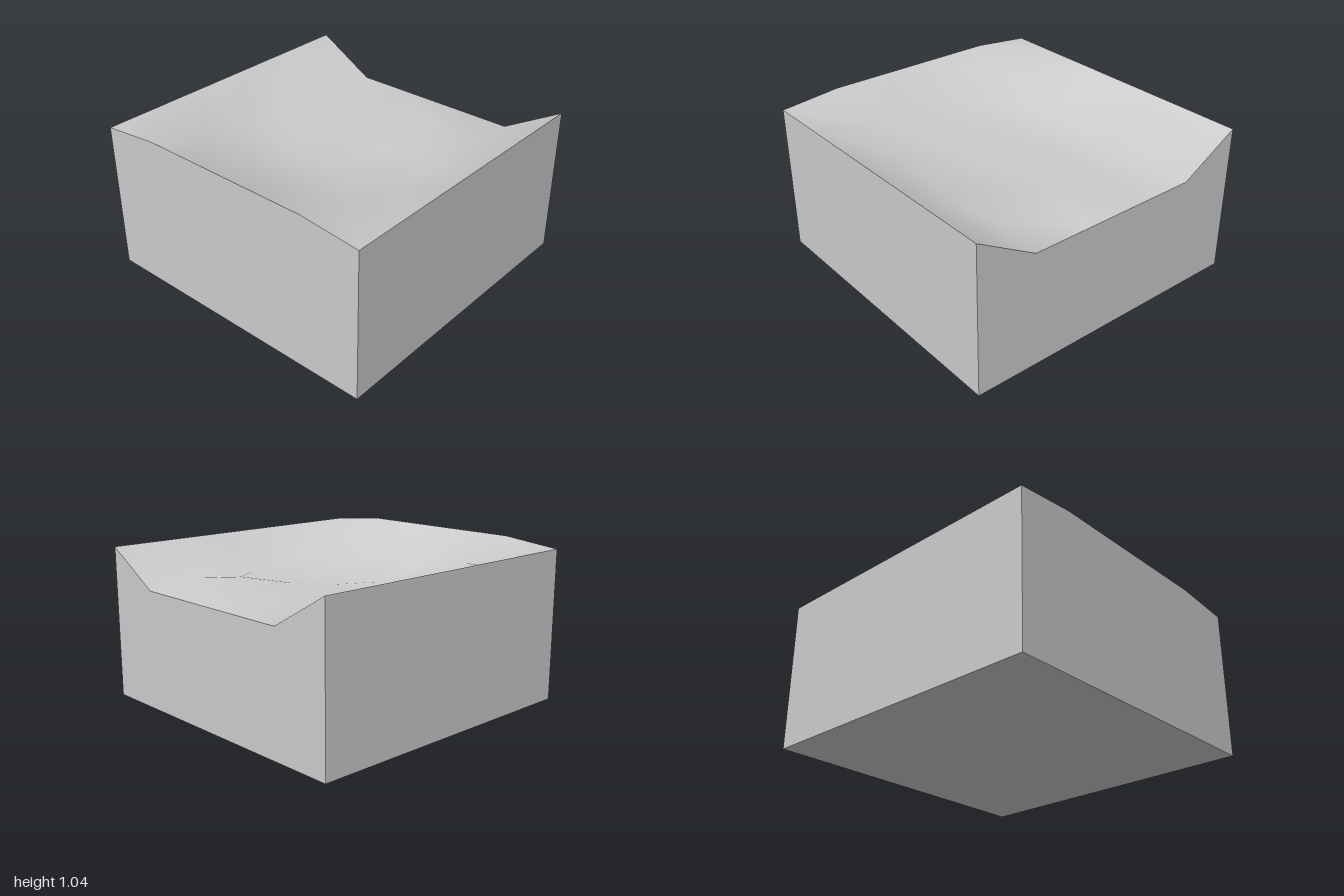
import * as THREE from 'three';

// Ground heights: one row per z from back to front, each running from x = -1 to x = 1
const HEIGHTS = [
  [1.0, 1.0, 1.0, 1.0, 1.0, 1.0],
  [1.04, 0.905, 0.81, 0.76, 0.78, 0.77],
  [1.04, 0.84, 0.78, 0.82, 0.77, 0.77],
  [1.04, 0.87, 0.777, 0.77, 0.865, 0.77],
  [1.04, 0.925, 0.83, 0.79, 0.8, 0.77],
  [1.0, 1.0, 1.0, 1.0, 1.0, 1.0],
];
const CELLS = HEIGHTS.length - 1;

export function createModel() {
  const group = new THREE.Group();
  const material = new THREE.MeshStandardMaterial({ color: 0xcccccc });
  const add = (name, geometry) => {
    const mesh = new THREE.Mesh(geometry, material);
    mesh.name = name;
    group.add(mesh);
  };

  // Smooth rolling ground
  const ground = new THREE.PlaneGeometry(2, 2, CELLS, CELLS).rotateX(-Math.PI / 2);
  HEIGHTS.flat().forEach((y, i) => ground.attributes.position.setY(i, y));
  ground.computeVertexNormals();
  add('ground', ground);

  // Flat wall whose top edge follows the given heights
  const wall = (name, heights, angle) => {
    const shape = new THREE.Shape();
    shape.moveTo(1, 0);
    for (let i = CELLS; i >= 0; i--) shape.lineTo(-1 + (2 * i) / CELLS, heights[i]);
    shape.lineTo(-1, 0);
    add(name, new THREE.ShapeGeometry(shape).translate(0, 0, 1).rotateY(angle));
  };
  const column = (i) => HEIGHTS.map((row) => row[i]);
  wall('frontWall', HEIGHTS[CELLS], 0);
  wall('leftWall', column(CELLS).reverse(), Math.PI / 2);
  wall('backWall', [...HEIGHTS[0]].reverse(), Math.PI);
  wall('rightWall', column(0), -Math.PI / 2);

  // Underside
  add('base', new THREE.PlaneGeometry(2, 2).rotateX(Math.PI / 2));

  return group;
}
